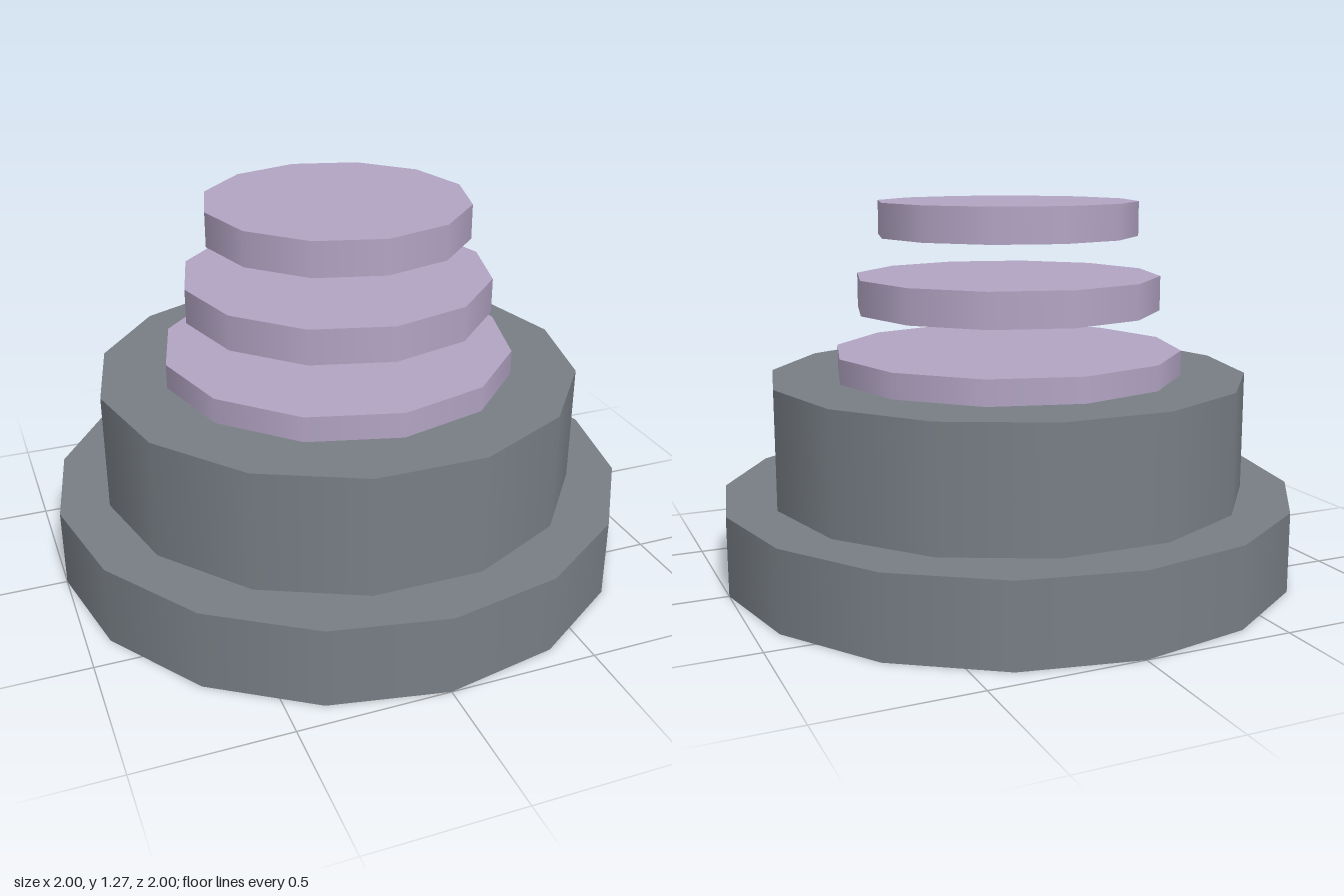
import * as THREE from 'three';

export function createModel() {
  const model = new THREE.Group();
  const grey = new THREE.MeshStandardMaterial({ color: 0x787e85, side: THREE.DoubleSide });
  grey.name = 'slate grey';
  const lilac = new THREE.MeshStandardMaterial({ color: 0xb2a4c3 });
  lilac.name = 'pale lilac';

  function add(name, geometry, material, y) {
    const mesh = new THREE.Mesh(geometry, material);
    mesh.name = name;
    mesh.position.y = y;
    model.add(mesh);
  }

  // Hollow plinth steps: open below, closed on top
  function step(name, radius, sides, bottom, top, turn) {
    const wall = new THREE.CylinderGeometry(radius, radius, top - bottom, sides, 1, true, turn);
    add(name + 'Wall', wall, grey, (bottom + top) / 2);
    const lid = new THREE.CircleGeometry(radius, sides, turn - Math.PI / 2).rotateX(-Math.PI / 2);
    add(name + 'Top', lid, grey, top);
  }
  step('lowerStep', 1, 16, 0, 0.272, 0);
  step('upperStep', 0.83, 14, 0.14, 0.68, Math.PI / 2);

  // Stack of floating discs, narrowing upward
  [[0.605, 0.647, 0.765], [0.528, 0.904, 1.022], [0.45, 1.158, 1.275]].forEach(([r, bottom, top], i) => {
    add('disc' + (i + 1), new THREE.CylinderGeometry(r, r, top - bottom, 12), lilac, (bottom + top) / 2);
  });

  return model;
}
